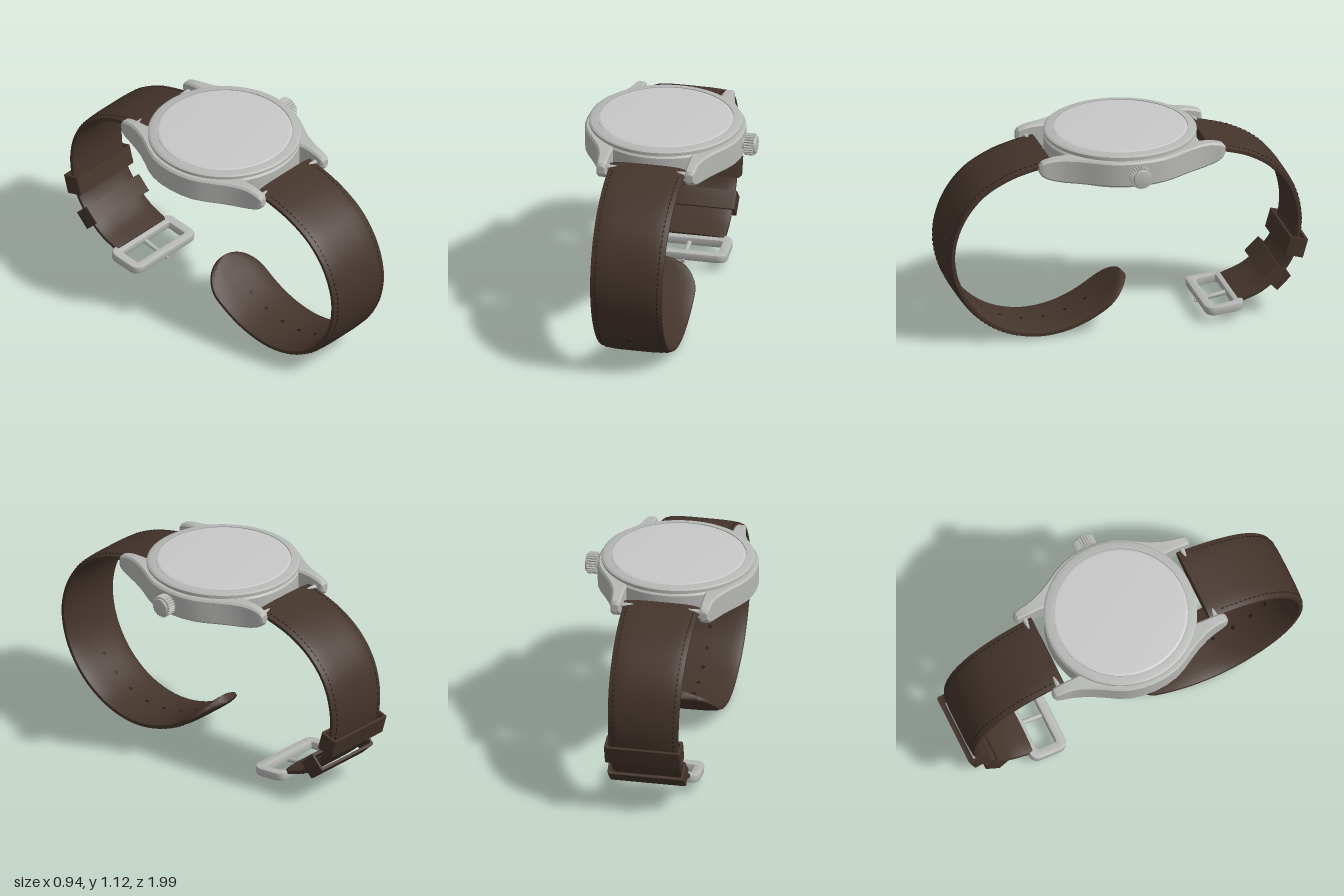
import * as THREE from 'three';
import { toCreasedNormals, mergeGeometries } from 'three/addons/utils/BufferGeometryUtils.js';

const CX = -0.04; // the crown sticks out, so the case sits off centre
const mat = (name, color) => {
  const m = new THREE.MeshStandardMaterial({ color });
  m.name = name;
  return m;
};

// Closed skin through rings of points, capped at both ends, facing outward
function loft(rings, crease = 0.6) {
  const n = rings[0].length, pts = rings.flat(), idx = [];
  for (let i = 0; i < rings.length - 1; i++)
    for (let j = 0; j < n; j++) {
      const a = i * n + j, b = i * n + (j + 1) % n;
      idx.push(a, b, b + n, a, b + n, a + n);
    }
  for (const [r, flip] of [[0, true], [rings.length - 1, false]]) {
    const c = pts.length;
    pts.push(rings[r].reduce((s, p) => s.add(p), new THREE.Vector3()).divideScalar(n));
    for (let j = 0; j < n; j++) {
      const a = r * n + j, b = r * n + (j + 1) % n;
      idx.push(c, flip ? b : a, flip ? a : b);
    }
  }
  let volume = 0;
  const v = new THREE.Vector3();
  for (let i = 0; i < idx.length; i += 3)
    volume += pts[idx[i]].dot(v.crossVectors(pts[idx[i + 1]], pts[idx[i + 2]]));
  if (volume < 0) idx.reverse();
  const g = new THREE.BufferGeometry().setFromPoints(pts);
  g.setIndex(idx);
  return toCreasedNormals(g, crease);
}

const lathe = (profile, seg = 96) =>
  toCreasedNormals(new THREE.LatheGeometry(profile.map(p => new THREE.Vector2(...p)), seg), 0.3);

function roundRect(path, w, h, r) {
  const x = w / 2, y = h / 2;
  path.moveTo(-x + r, -y).lineTo(x - r, -y).quadraticCurveTo(x, -y, x, -y + r);
  path.lineTo(x, y - r).quadraticCurveTo(x, y, x - r, y);
  path.lineTo(-x + r, y).quadraticCurveTo(-x, y, -x, y - r);
  path.lineTo(-x, -y + r).quadraticCurveTo(-x, -y, -x + r, -y);
  return path;
}

// Rectangular frame centred on the origin, its opening along z
function frameGeometry(w, h, r, holeW, holeH, holeR, depth, bevel) {
  const s = roundRect(new THREE.Shape(), w - 2 * bevel, h - 2 * bevel, r);
  s.holes.push(roundRect(new THREE.Path(), holeW + 2 * bevel, holeH + 2 * bevel, holeR));
  const g = new THREE.ExtrudeGeometry(s, { depth: depth - 2 * bevel, bevelEnabled: bevel > 0,
    bevelSize: bevel, bevelThickness: bevel, bevelSegments: 2, curveSegments: 6 });
  g.translate(0, 0, bevel - depth / 2);
  return toCreasedNormals(g, 0.6);
}

// Strap path from [z, y] points; side is 1 for the front half, -1 for the back
function strapPath(points, side, w0, w1, tip) {
  const curve = new THREE.CatmullRomCurve3(points.map(([z, y]) => new THREE.Vector3(CX, y, z)));
  const length = curve.getLength();
  const at = u => {
    const p = curve.getPointAt(u), t = curve.getTangentAt(u);
    const n = new THREE.Vector3(0, t.z * side, -t.y * side);
    const d = (1 - u) * length;
    const round = d < tip ? Math.sqrt(Math.max(0.0004, 1 - (1 - d / tip) ** 2)) : 1;
    return { p, n, half: (w0 + (w1 - w0) * Math.min(1, u * 1.6)) * round };
  };
  const nearest = (z, y) => {
    let best = 0, dist = 9;
    for (let i = 0; i <= 400; i++) {
      const q = curve.getPointAt(i / 400), e = Math.hypot(q.z - z, q.y - y);
      if (e < dist) { dist = e; best = i / 400; }
    }
    return best;
  };
  return { at, nearest, length };
}

// Padded leather section: flat in the middle, thinner at the edges
const thick = q => 0.023 - 0.014 * Math.abs(q) ** 5;
const across = [-1, -0.94, -0.85, -0.7, -0.45, 0, 0.45, 0.7, 0.85, 0.94, 1];

function strapGeometry(path) {
  const rings = [];
  for (let i = 0; i <= 90; i++) {
    const { p, n, half } = path.at(Math.sin(i / 90 * Math.PI / 2));
    const point = (q, s) => p.clone().addScaledVector(n, s * thick(q)).add(new THREE.Vector3(q * half, 0, 0));
    rings.push([...across.map(q => point(q, 1)), ...across.slice().reverse().map(q => point(q, -1))]);
  }
  return loft(rings, 0.7);
}

// Place a geometry on the strap: x across, y outward, z along it
function onStrap(g, f, x = 0, out = 0) {
  const X = new THREE.Vector3(1, 0, 0), Z = new THREE.Vector3().crossVectors(X, f.n);
  const m = new THREE.Matrix4().makeBasis(X, f.n, Z);
  m.setPosition(f.p.clone().addScaledVector(f.n, out).addScaledVector(X, x));
  return g.applyMatrix4(m);
}

function stitches(path, from, to) {
  const dashes = [], count = Math.floor((to - from) * path.length / 0.028);
  for (let i = 0; i <= count; i++) {
    const f = path.at(from + (to - from) * i / count);
    for (const s of [-1, 1])
      dashes.push(onStrap(new THREE.BoxGeometry(0.005, 0.004, 0.016), f, s * (f.half - 0.026), thick(1 - 0.026 / f.half)));
  }
  return mergeGeometries(dashes);
}

export function createModel() {
  const model = new THREE.Group();
  model.name = 'wristwatch';
  const steel = mat('brushed steel', 0xb6b8b5), glass = mat('pale glass', 0xc8c8c8);
  const backGrey = mat('back plate grey', 0x9c9c9c), darkSteel = mat('dark steel', 0x6c6e6c);
  const leather = mat('brown leather', 0x44342b), thread = mat('dark thread', 0x241a15);
  const add = (name, g, m, x = 0, y = 0, z = 0) => {
    const mesh = new THREE.Mesh(g, m);
    mesh.name = name;
    mesh.position.set(x, y, z);
    model.add(mesh);
    return mesh;
  };

  // Case, bezel, crystal and case back
  add('caseBody', lathe([[0, 0.93], [0.4, 0.93], [0.41, 0.94], [0.41, 1.06], [0.4, 1.07], [0, 1.07]]), steel, CX);
  add('bezel', lathe([[0.3, 1.065], [0.4, 1.065], [0.4, 1.078], [0.411, 1.081], [0.411, 1.094], [0.402, 1.1],
    [0.375, 1.106], [0.364, 1.106], [0.364, 1.098], [0.3, 1.098]]), steel, CX);
  add('crystal', lathe([[0.361, 1.09], [0.361, 1.104], [0.35, 1.108], [0.25, 1.112], [0.12, 1.115], [0, 1.116]]), glass, CX);
  add('caseBack', lathe([[0, 0.895], [0.268, 0.895], [0.272, 0.893], [0.31, 0.895], [0.36, 0.902], [0.39, 0.913],
    [0.39, 0.935], [0, 0.935]]), steel, CX);
  add('backPlate', lathe([[0, 0.891], [0.262, 0.891], [0.265, 0.894], [0.265, 0.897]]), backGrey, CX);
  for (let i = 0; i < 4; i++) {
    const a = Math.PI / 4 + i * Math.PI / 2;
    add('backScrew', new THREE.CylinderGeometry(0.016, 0.016, 0.008, 16), darkSteel,
      CX + 0.335 * Math.cos(a), 0.899, 0.335 * Math.sin(a));
  }

  // Flared case sides ending in lugs: z, outer x, inner x, bottom, top
  const half = [[0, 0.43, 0.2, 0.93, 1.07], [0.07, 0.426, 0.2, 0.93, 1.07], [0.14, 0.41, 0.2, 0.93, 1.07],
    [0.2, 0.383, 0.2, 0.93, 1.07], [0.26, 0.347, 0.205, 0.93, 1.07], [0.32, 0.314, 0.21, 0.93, 1.07],
    [0.38, 0.289, 0.215, 0.932, 1.07], [0.43, 0.276, 0.215, 0.94, 1.068], [0.475, 0.271, 0.215, 0.955, 1.06],
    [0.502, 0.268, 0.216, 0.972, 1.05], [0.515, 0.26, 0.224, 0.99, 1.035]];
  const sections = [...half.slice(1).reverse().map(([z, ...r]) => [-z, ...r]), ...half];
  for (const s of [-1, 1])
    add(s > 0 ? 'leftCaseSideAndLugs' : 'rightCaseSideAndLugs', loft(sections.map(([z, o, i, b, t]) => {
      const c = 0.01;
      return [[i + c, b], [o - c, b], [o, b + c], [o, t - c], [o - c, t], [i + c, t], [i, t - c], [i, b + c]]
        .map(([x, y]) => new THREE.Vector3(CX + s * x, y, z));
    }), 0.5), steel);
  for (const s of [-1, 1]) {
    const bar = add('springBar', new THREE.CylinderGeometry(0.014, 0.014, 0.44, 16), steel, CX, 1.012, s * 0.465);
    bar.rotation.z = Math.PI / 2;
  }

  // Fluted crown on its stem
  const flutes = new THREE.Shape();
  for (let i = 0; i < 72; i++) {
    const a = i / 72 * Math.PI * 2, r = i % 3 === 0 ? 0.053 : 0.06;
    flutes[i ? 'lineTo' : 'moveTo'](r * Math.cos(a), r * Math.sin(a));
  }
  const crown = new THREE.ExtrudeGeometry(flutes, { depth: 0.05, bevelEnabled: false });
  crown.rotateY(Math.PI / 2);
  add('crown', crown, steel, 0.402, 1, 0.01);
  const stem = lathe([[0, -0.04], [0.03, -0.04], [0.03, 0.02], [0.05, 0.02], [0.05, 0.071], [0.046, 0.078], [0.03, 0.081], [0, 0.082]], 32);
  add('crownStemAndCap', stem.rotateZ(-Math.PI / 2), steel, 0.384, 1, 0.01);

  // Long front strap with rounded tip and adjustment holes
  const front = strapPath([[0.43, 1.013], [0.53, 0.995], [0.67, 0.953], [0.82, 0.865], [0.93, 0.72], [0.978, 0.54],
    [0.947, 0.35], [0.85, 0.19], [0.71, 0.08], [0.56, 0.03], [0.42, 0.026], [0.27, 0.063], [0.12, 0.145], [-0.012, 0.262]],
    1, 0.208, 0.188, 0.19);
  add('frontStrap', strapGeometry(front), leather);
  add('frontStrapStitching', stitches(front, 0.04, 0.9), thread);
  const firstHole = front.nearest(0.87, 0.22);
  for (let i = 0; i < 7; i++) {
    const f = front.at(firstHole + i * 0.128 / front.length);
    add('strapHole', onStrap(new THREE.CylinderGeometry(0.011, 0.011, 0.048, 16), f), thread);
  }

  // Short back strap with two keeper loops
  const back = strapPath([[-0.43, 1.013], [-0.52, 0.993], [-0.66, 0.948], [-0.8, 0.86], [-0.9, 0.73], [-0.944, 0.56],
    [-0.93, 0.4], [-0.89, 0.3], [-0.82, 0.215], [-0.73, 0.145], [-0.61, 0.098]], -1, 0.208, 0.19, 0);
  add('backStrap', strapGeometry(back), leather);
  add('backStrapStitching', stitches(back, 0.05, 0.96), thread);
  for (const [z, y] of [[-0.925, 0.38], [-0.82, 0.215]])
    add('keeperLoop', onStrap(frameGeometry(0.416, 0.105, 0.012, 0.388, 0.075, 0.008, 0.105, 0),
      back.at(back.nearest(z, y))), leather);

  // Buckle frame, gently bowed, with its prong
  const buckle = new THREE.Group();
  buckle.name = 'buckle';
  buckle.position.set(CX, 0.074, -0.525);
  buckle.rotation.x = 0.1;
  const ring = frameGeometry(0.47, 0.215, 0.045, 0.365, 0.115, 0.02, 0.048, 0.008).rotateX(-Math.PI / 2);
  const pos = ring.attributes.position;
  for (let i = 0; i < pos.count; i++) pos.setY(i, pos.getY(i) + 0.8 * pos.getZ(i) ** 2 - 0.003);
  const frame = new THREE.Mesh(ring, steel);
  frame.name = 'buckleFrame';
  const prong = new THREE.Mesh(new THREE.CylinderGeometry(0.011, 0.014, 0.21, 12).rotateX(Math.PI / 2), steel);
  prong.name = 'buckleProng';
  prong.position.set(0, -0.012, 0.008);
  prong.rotation.x = 0.08;
  buckle.add(frame, prong);
  model.add(buckle);
  return model;
}
